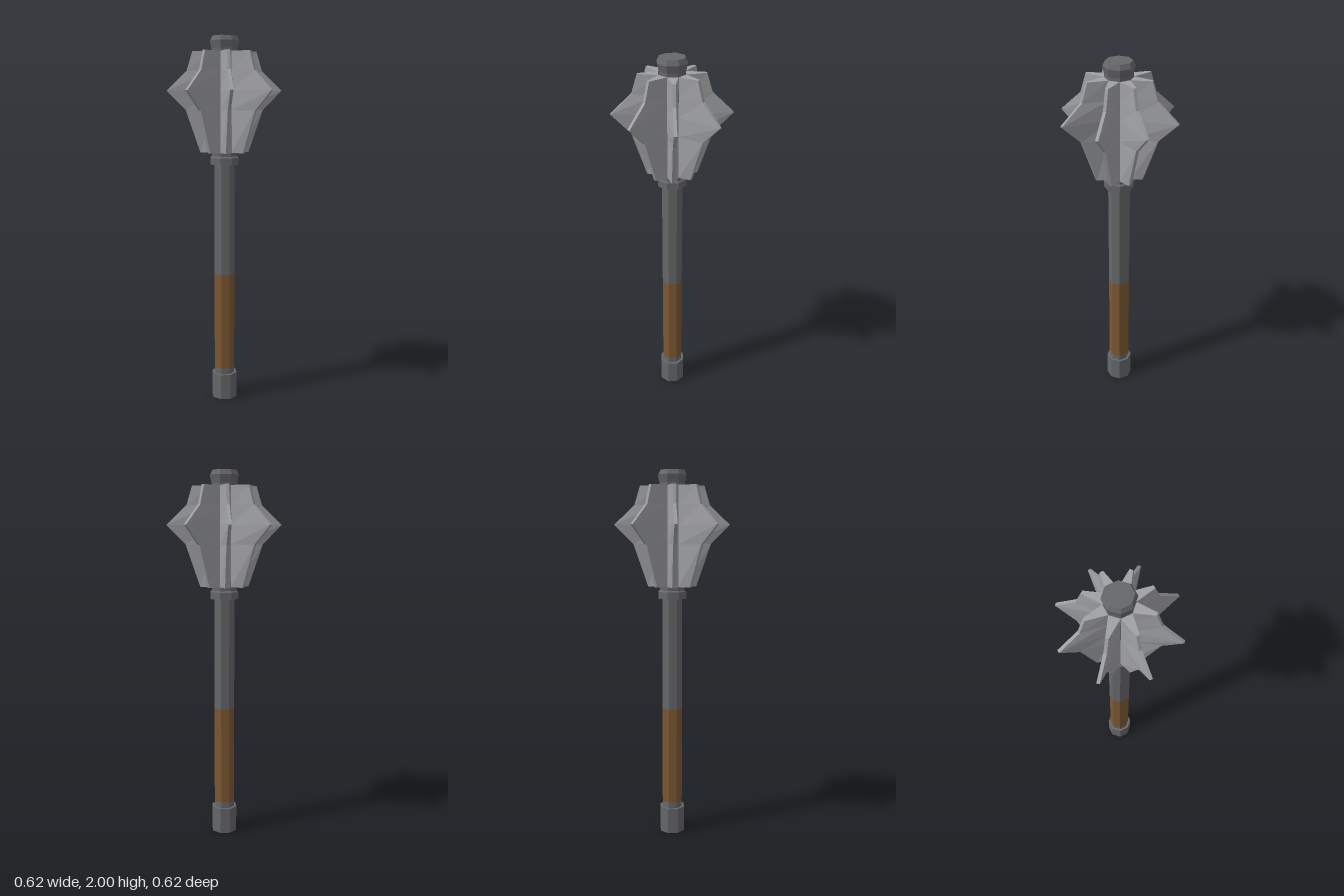
import * as THREE from 'three';

const material = (name, color) => {
  const m = new THREE.MeshStandardMaterial({ color });
  m.name = name;
  return m;
};

// Faceted copy of a geometry: every face gets its own normal
function faceted(geometry) {
  const g = geometry.index ? geometry.toNonIndexed() : geometry;
  g.computeVertexNormals();
  return g;
}

// Octagonal turned part from [apothem, y] pairs, flat sides facing the axes
function octagon(name, profile, mat) {
  const k = 1 / Math.cos(Math.PI / 8);
  const points = profile.map(([r, y]) => new THREE.Vector2(r * k, y));
  const mesh = new THREE.Mesh(faceted(new THREE.LatheGeometry(points, 8, Math.PI / 8)), mat);
  mesh.name = name;
  return mesh;
}

// Tapered blade pointing along +x: wide at the core, thin along the outer edge
function bladeGeometry() {
  const outline = [[0.13, 1.39], [0.207, 1.615], [0.308, 1.717], [0.2, 1.82], [0.17, 1.92]];
  const inner = 0.068, wide = 0.028, thin = 0.008;
  const positions = [];
  const quad = (a, b, c, d) => positions.push(...a, ...b, ...c, ...a, ...c, ...d);
  const section = ([r, y]) => [
    [inner, y, wide], [r, y, thin], [r, y, -thin], [inner, y, -wide],
  ];
  const rings = outline.map(section);
  for (let i = 0; i < rings.length - 1; i++) {
    const p = rings[i], q = rings[i + 1];
    for (let j = 0; j < 3; j++) quad(p[j], p[j + 1], q[j + 1], q[j]);
  }
  const [bottom, top] = [rings[0], rings[rings.length - 1]];
  quad(top[0], top[1], top[2], top[3]);
  quad(bottom[3], bottom[2], bottom[1], bottom[0]);
  const g = new THREE.BufferGeometry();
  g.setAttribute('position', new THREE.Float32BufferAttribute(positions, 3));
  return faceted(g);
}

export function createModel() {
  const model = new THREE.Group();
  model.name = 'flangedMace';
  const iron = material('dark iron', 0x66676a);
  const steel = material('light steel', 0xa0a1a5);
  const leather = material('brown leather', 0x7c5831);
  const black = material('black', 0x060606);

  // Pommel and its dark underside
  model.add(octagon('pommel', [[0.066, 0], [0.066, 0.143], [0, 0.143]], iron));
  model.add(octagon('pommelBase', [[0, 0], [0.066, 0]], black));

  // Handle: bare shaft with a leather grip
  model.add(octagon('lowerShaft', [[0.053, 0.14], [0.053, 0.178]], iron));
  model.add(octagon('grip', [[0.053, 0.178], [0.053, 0.718]], leather));
  model.add(octagon('shaft', [[0.053, 0.718], [0.053, 1.33]], iron));

  // Collar, core and top knob
  model.add(octagon('collar', [
    [0.05, 1.325], [0.074, 1.325], [0.074, 1.362], [0.065, 1.37], [0.065, 1.4],
  ], iron));
  model.add(octagon('core', [[0.065, 1.39], [0.065, 1.93]], iron));
  model.add(octagon('knob', [
    [0.066, 1.92], [0.066, 1.935], [0.074, 1.975], [0.062, 2], [0, 2],
  ], iron));

  // Eight blades around the core
  const blade = bladeGeometry();
  const blades = new THREE.Group();
  blades.name = 'blades';
  for (let i = 0; i < 8; i++) {
    const mesh = new THREE.Mesh(blade, steel);
    mesh.name = `blade${i + 1}`;
    mesh.rotation.y = (i * Math.PI) / 4;
    blades.add(mesh);
  }
  model.add(blades);
  return model;
}
